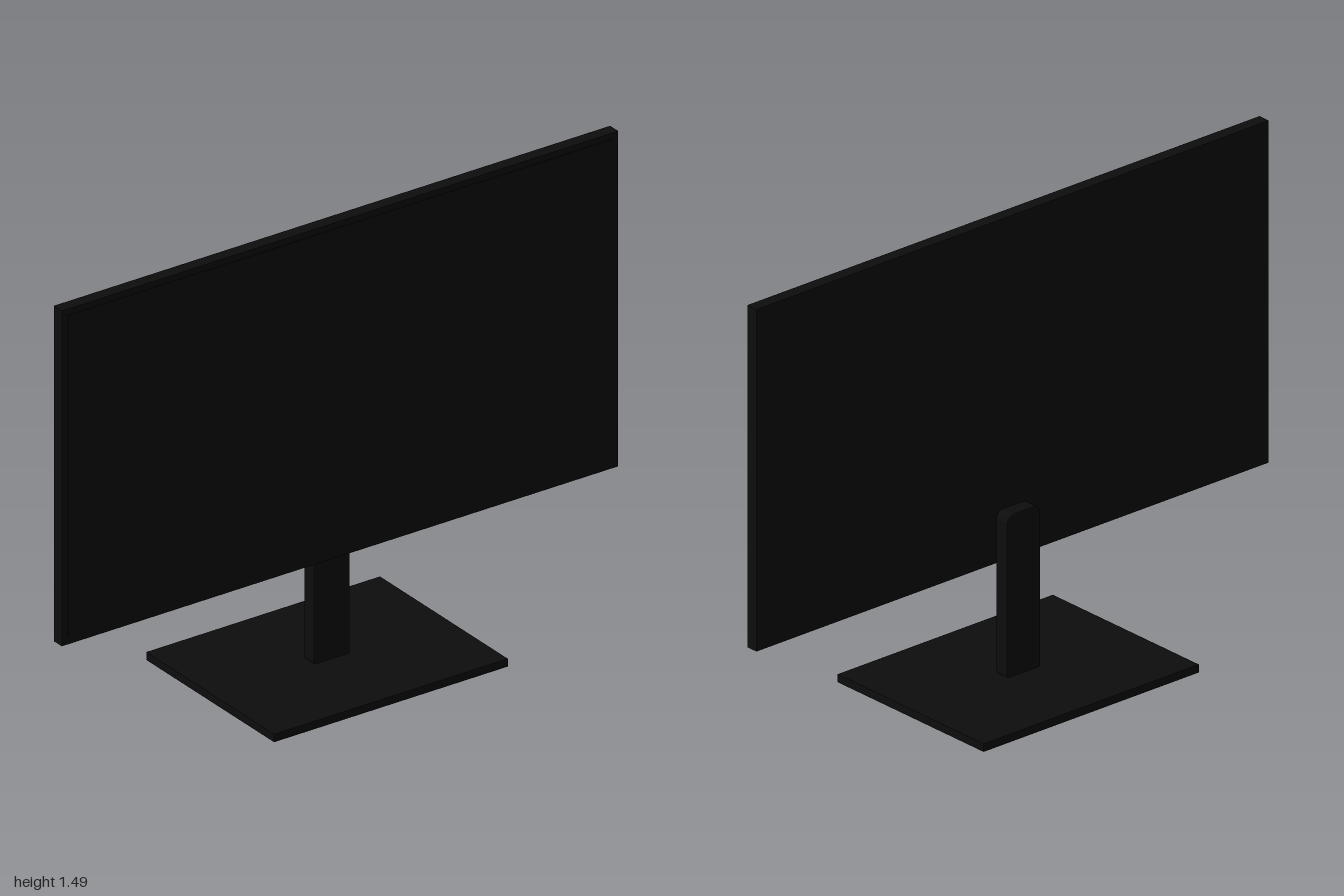
import * as THREE from 'three';

const black = new THREE.MeshStandardMaterial({ name: 'matte black', color: 0x0d0d0d });
const glass = new THREE.MeshStandardMaterial({ name: 'screen black', color: 0x0c0c0c });

function add(group, name, geometry, material, x, y, z) {
  const mesh = new THREE.Mesh(geometry, material);
  mesh.name = name;
  mesh.position.set(x, y, z);
  group.add(mesh);
}

// Upright bar: rounded outline, softened front and back edges
function standGeometry(width, height, depth, radius, bevel) {
  const w = width / 2 - bevel, h = height / 2 - bevel, r = radius - bevel;
  const s = new THREE.Shape();
  s.moveTo(-w + r, -h);
  s.lineTo(w - r, -h);
  s.absarc(w - r, -h + r, r, -Math.PI / 2, 0);
  s.lineTo(w, h - r);
  s.absarc(w - r, h - r, r, 0, Math.PI / 2);
  s.lineTo(-w + r, h);
  s.absarc(-w + r, h - r, r, Math.PI / 2, Math.PI);
  s.lineTo(-w, -h + r);
  s.absarc(-w + r, -h + r, r, Math.PI, Math.PI * 1.5);
  const g = new THREE.ExtrudeGeometry(s, {
    depth: depth - 2 * bevel, bevelEnabled: true, bevelSize: bevel,
    bevelThickness: bevel, bevelSegments: 2, curveSegments: 5,
  });
  g.center();
  return g;
}

export function createModel() {
  const monitor = new THREE.Group();
  monitor.name = 'monitor';

  // Foot plate
  add(monitor, 'base', new THREE.BoxGeometry(0.84, 0.026, 0.648), black, 0, 0.013, 0);

  // Stand, sunk into the base and rising behind the panel
  add(monitor, 'stand', standGeometry(0.132, 0.54, 0.052, 0.03, 0.006), black, 0, 0.28, 0);

  // Panel housing and thin display face
  add(monitor, 'housing', new THREE.BoxGeometry(2, 1.105, 0.041), black, 0, 0.9325, 0.0455);
  add(monitor, 'screen', new THREE.BoxGeometry(1.96, 1.06, 0.003), glass, 0, 0.935, 0.0665);

  return monitor;
}
